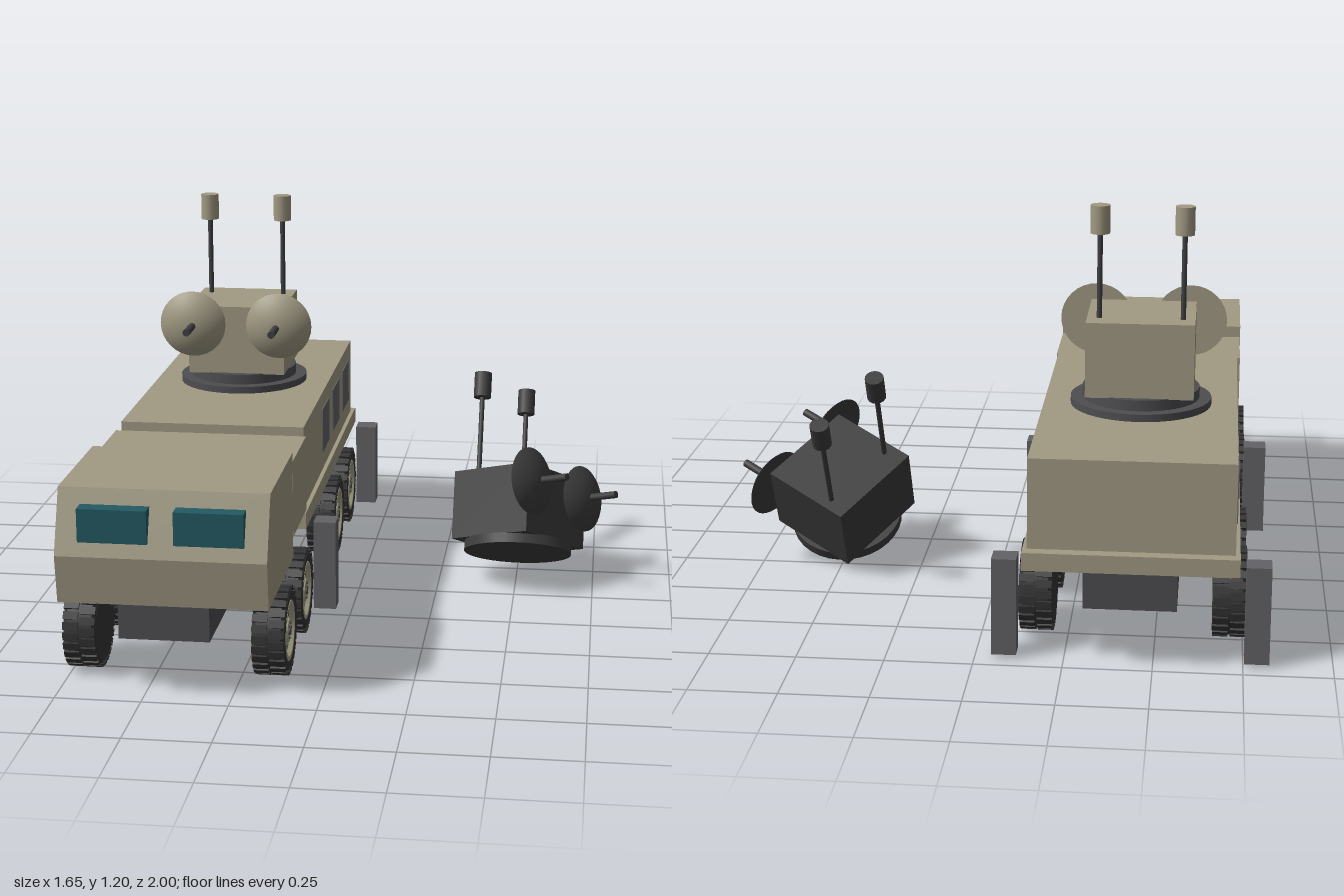
import * as THREE from 'three';
import { toCreasedNormals } from 'three/addons/utils/BufferGeometryUtils.js';

const mat = (name, color) => {
  const m = new THREE.MeshStandardMaterial({ color });
  m.name = name;
  return m;
};

export function createModel() {
  const tan = mat('tan paint', 0xa19a83);
  const hubTan = mat('hub tan', 0xa8a488);
  const grey = mat('steel grey', 0x636367);
  const frameGrey = mat('frame grey', 0x4e4e51);
  const rubber = mat('tyre rubber', 0x343435);
  const rodGrey = mat('rod grey', 0x414144);
  const glass = mat('teal glass', 0x235a63);
  const burnt = mat('burnt metal', 0x3c3c3c);

  const add = (parent, name, geo, material, x = 0, y = 0, z = 0) => {
    const m = new THREE.Mesh(geo, material);
    m.name = name;
    m.position.set(x, y, z);
    parent.add(m);
    return m;
  };
  // Box given by its centre x and width, then y and z ranges
  const box = (parent, name, material, x, w, y0, y1, z0, z1) =>
    add(parent, name, new THREE.BoxGeometry(w, y1 - y0, z1 - z0), material, x, (y0 + y1) / 2, (z0 + z1) / 2);
  const cyl = (r, h, n) => new THREE.CylinderGeometry(r, r, h, n);
  const lathe = (pts, n) => toCreasedNormals(
    new THREE.LatheGeometry(pts.map(p => new THREE.Vector2(...p)), n).rotateZ(-Math.PI / 2), 0.5);

  const model = new THREE.Group();
  model.name = 'radarTruckScene';
  const truck = new THREE.Group();
  truck.name = 'truck';
  truck.position.x = -0.435;
  model.add(truck);

  // Frame, deck and bodies
  box(truck, 'chassis', frameGrey, 0, 0.26, 0.178, 0.283, -0.995, 0.97);
  box(truck, 'deck', tan, 0, 0.6, 0.283, 0.335, -0.998, 0.26);
  box(truck, 'rearBody', tan, 0, 0.574, 0.335, 0.596, -0.962, 0.209);
  box(truck, 'middleBody', tan, 0, 0.596, 0.34, 0.575, 0.235, 0.508);

  // Cab with a sloping front
  const side = new THREE.Shape([[0.524, 0.283], [0.98, 0.283], [0.998, 0.425], [0.928, 0.607], [0.524, 0.607]]
    .map(p => new THREE.Vector2(...p)));
  const cab = new THREE.ExtrudeGeometry(side, { depth: 0.6, bevelEnabled: false });
  add(truck, 'cab', cab.rotateY(-Math.PI / 2).translate(0.3, 0, 0), tan);

  // Wheel parts, axis along x with the hub on the +x side
  const tyreGeo = lathe([[0, -0.048], [0.114, -0.048], [0.125, -0.036], [0.125, 0.036],
    [0.114, 0.048], [0.092, 0.047], [0.086, 0.03]], 36);
  const hubGeo = lathe([[0.089, 0.03], [0.088, 0.047], [0.077, 0.047], [0.07, 0.035],
    [0.038, 0.035], [0.034, 0.044], [0, 0.044]], 32);
  const treadGeo = new THREE.BoxGeometry(0.044, 0.009, 0.022);
  const holeGeo = cyl(0.009, 0.004, 10).rotateZ(Math.PI / 2);
  const boltGeo = cyl(0.004, 0.006, 6).rotateZ(Math.PI / 2);
  const capGeo = cyl(0.013, 0.008, 12).rotateZ(Math.PI / 2);
  const makeWheel = () => {
    const w = new THREE.Group();
    w.name = 'wheel';
    add(w, 'tyre', tyreGeo, rubber);
    add(w, 'hub', hubGeo, hubTan);
    add(w, 'hubCap', capGeo, frameGrey, 0.044);
    const N = 26;
    for (const row of [-1, 1]) {
      for (let i = 0; i < N; i++) {
        const a = ((i + (row > 0 ? 0.5 : 0)) / N) * Math.PI * 2;
        add(w, 'tread', treadGeo, rubber, row * 0.025, Math.cos(a) * 0.1265, Math.sin(a) * 0.1265).rotation.x = a;
      }
    }
    for (let i = 0; i < 8; i++) {
      const a = (i / 8) * Math.PI * 2;
      add(w, 'hubHole', holeGeo, frameGrey, 0.034, Math.cos(a) * 0.054, Math.sin(a) * 0.054);
      add(w, 'hubBolt', boltGeo, frameGrey, 0.044, Math.cos(a) * 0.024, Math.sin(a) * 0.024);
    }
    return w;
  };

  // Mirrored parts: windscreens, side windows, support legs, wheels
  for (const s of [-1, 1]) {
    box(truck, 'windscreen', glass, s * 0.136, 0.197, 0.466, 0.563, 0.92, 0.992);
    for (const z of [-0.28, -0.537, -0.797]) {
      box(truck, 'sideWindow', grey, s * 0.288, 0.006, 0.398, 0.543, z - 0.082, z + 0.082);
    }
    for (const z of [0.192, -0.915]) {
      box(truck, 'supportLeg', grey, s * 0.353, 0.07, 0.012, 0.296, z - 0.035, z + 0.035);
    }
    for (const z of [0.733, 0.393, -0.366, -0.703]) {
      const w = makeWheel();
      w.position.set(s * 0.275, 0.133, z);
      if (s < 0) w.rotation.y = Math.PI;
      truck.add(w);
    }
  }

  // Turret with two domed dishes, feed rods and whip antennas
  const R = 0.16, cap = 0.741;
  const dishGeo = new THREE.SphereGeometry(R, 32, 8, 0, Math.PI * 2, 0, cap)
    .rotateX(Math.PI / 2).translate(0, 0, -R * Math.cos(cap));
  const backGeo = new THREE.CircleGeometry(0.108, 32).rotateY(Math.PI);
  const makeTurret = (name, paint, ringPaint, rodPaint) => {
    const t = new THREE.Group();
    t.name = name;
    add(t, 'turntable', cyl(0.174, 0.032, 32), ringPaint, 0, 0.016, 0);
    box(t, 'turretBody', paint, 0, 0.316, 0.03, 0.254, -0.15, 0.148);
    for (const s of [-1, 1]) {
      add(t, 'dish', dishGeo, paint, s * 0.142, 0.195, 0.15);
      add(t, 'dishBack', backGeo, paint, s * 0.142, 0.195, 0.15);
      add(t, 'feedRod', cyl(0.012, 0.13, 12).rotateX(Math.PI / 2), rodPaint, s * 0.138, 0.195, 0.22);
      add(t, 'antennaRod', cyl(0.008, 0.27, 10), rodPaint, s * 0.122, 0.385, -0.079);
      add(t, 'antennaTip', cyl(0.029, 0.083, 14), paint, s * 0.122, 0.546, -0.079);
    }
    return t;
  };
  add(truck, 'turretBase', cyl(0.209, 0.024, 40), frameGrey, 0, 0.606, -0.38);
  const turret = makeTurret('turret', tan, frameGrey, rodGrey);
  turret.position.set(0, 0.618, -0.38);
  truck.add(turret);

  // Burnt spare turret lying tilted beside the truck
  const wreck = makeTurret('wreckedTurret', burnt, burnt, burnt);
  wreck.position.set(0.505, 0.105, -0.112);
  wreck.rotation.set(-Math.PI / 6, 0.97, 0);
  model.add(wreck);

  return model;
}
